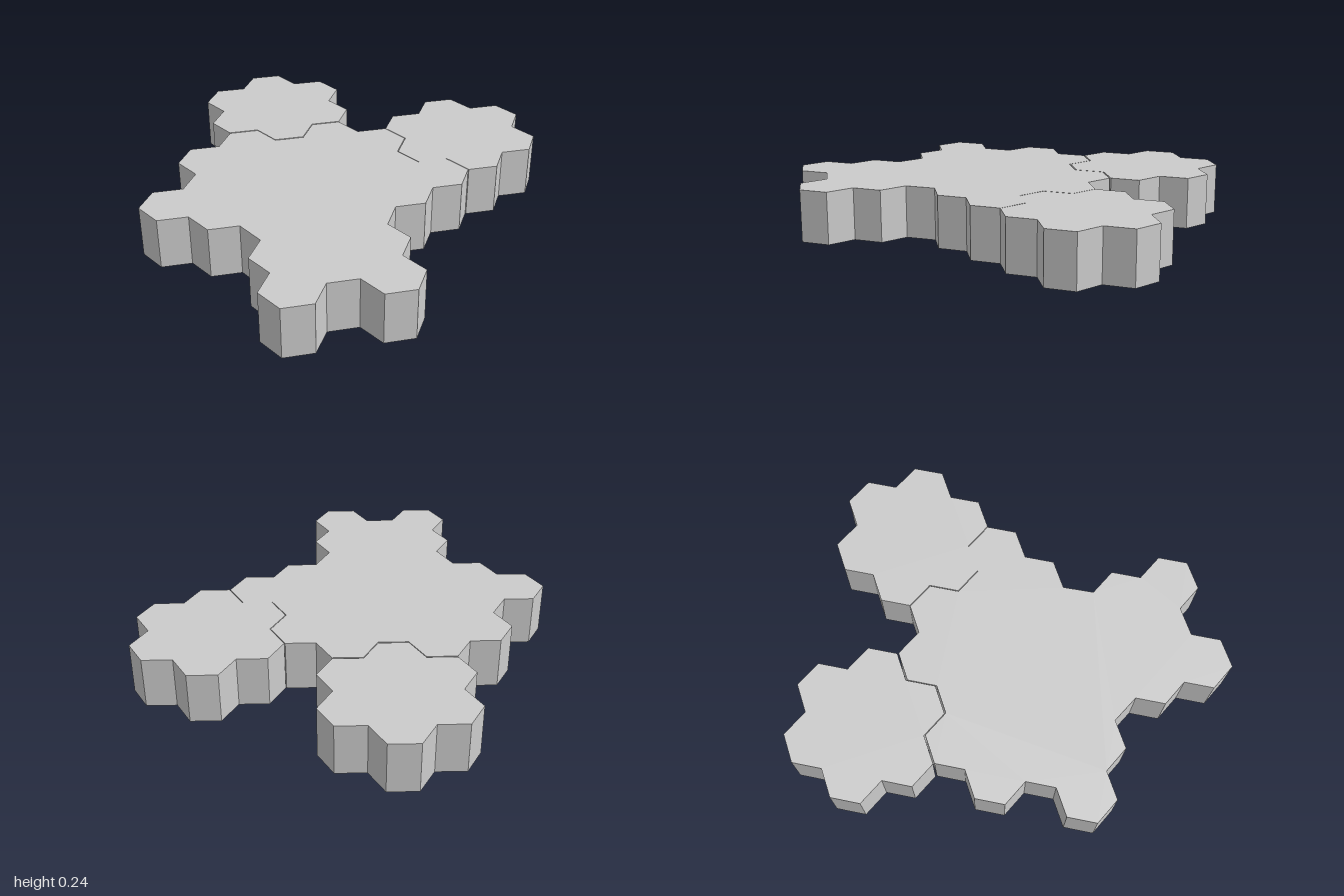
import * as THREE from 'three';

const SIDE = 0.135;                      // hexagon side
const HALF = SIDE * Math.sqrt(3) / 2;    // half the flat-to-flat width
const HEIGHT = 0.24;
const GAP = 0.0065;
const CORNERS = [[2, 0], [1, 1], [-1, 1], [-2, 0], [-1, -1], [1, -1]];

// Merged outline of hexagon cells [column, row], in integer lattice points
function outline(cells) {
  const edges = new Map();
  for (const [col, row] of cells) {
    const ring = CORNERS.map(([a, b]) => `${col * 3 + a},${row + b}`);
    ring.forEach((p, i) => {
      const q = ring[(i + 1) % 6];
      if (edges.has(`${q}|${p}`)) edges.delete(`${q}|${p}`);   // shared edge
      else edges.set(`${p}|${q}`, [p, q]);
    });
  }
  const next = new Map(edges.values());
  const start = next.keys().next().value;
  const points = [];
  let p = start;
  do {
    points.push(p.split(',').map(Number));
    p = next.get(p);
  } while (p !== start);
  return points;
}

// Extruded slab standing on the ground; place maps x, z to their final spot
function slab(name, cells, material, place) {
  const points = outline(cells).map(([i, j]) => {
    const [x, z] = place(i * SIDE / 2, (j + 0.5) * HALF);
    return new THREE.Vector2(x, -z);
  });
  const geometry = new THREE.ExtrudeGeometry(new THREE.Shape(points), {
    depth: HEIGHT, bevelEnabled: false,
  });
  geometry.rotateX(-Math.PI / 2);
  const mesh = new THREE.Mesh(geometry, material);
  mesh.name = name;
  return mesh;
}

// Seven cells: one in the middle and six around it
const flower = (c, r) => [[c, r], [c, r - 2], [c, r + 2],
  [c - 1, r - 1], [c - 1, r + 1], [c + 1, r - 1], [c + 1, r + 1]];

export function createModel() {
  const group = new THREE.Group();
  group.name = 'hexagonTiles';
  const material = new THREE.MeshStandardMaterial({ color: 0xcccccc, flatShading: true });

  // Body columns: column, first row, last row
  const bodyCells = [];
  for (const [col, first, last] of [
    [-4, 1, 1], [-3, -2, 2], [-2, -3, 7], [-1, -2, 6], [0, -3, 7], [1, -2, 2], [2, 1, 1],
  ]) {
    for (let row = first; row <= last; row += 2) bodyCells.push([col, row]);
  }
  // The front stem sits a little further out
  group.add(slab('body', bodyCells, material, (x, z) => [x, z > 0.45 ? z + GAP : z]));

  // Back and side clusters, parted from the body by thin seams
  group.add(slab('backCluster', flower(-1, -6), material, (x, z) => [x, z - GAP]));
  group.add(slab('sideCluster', flower(3, -2), material, (x, z) => [x + 0.004, z]));

  return group;
}
